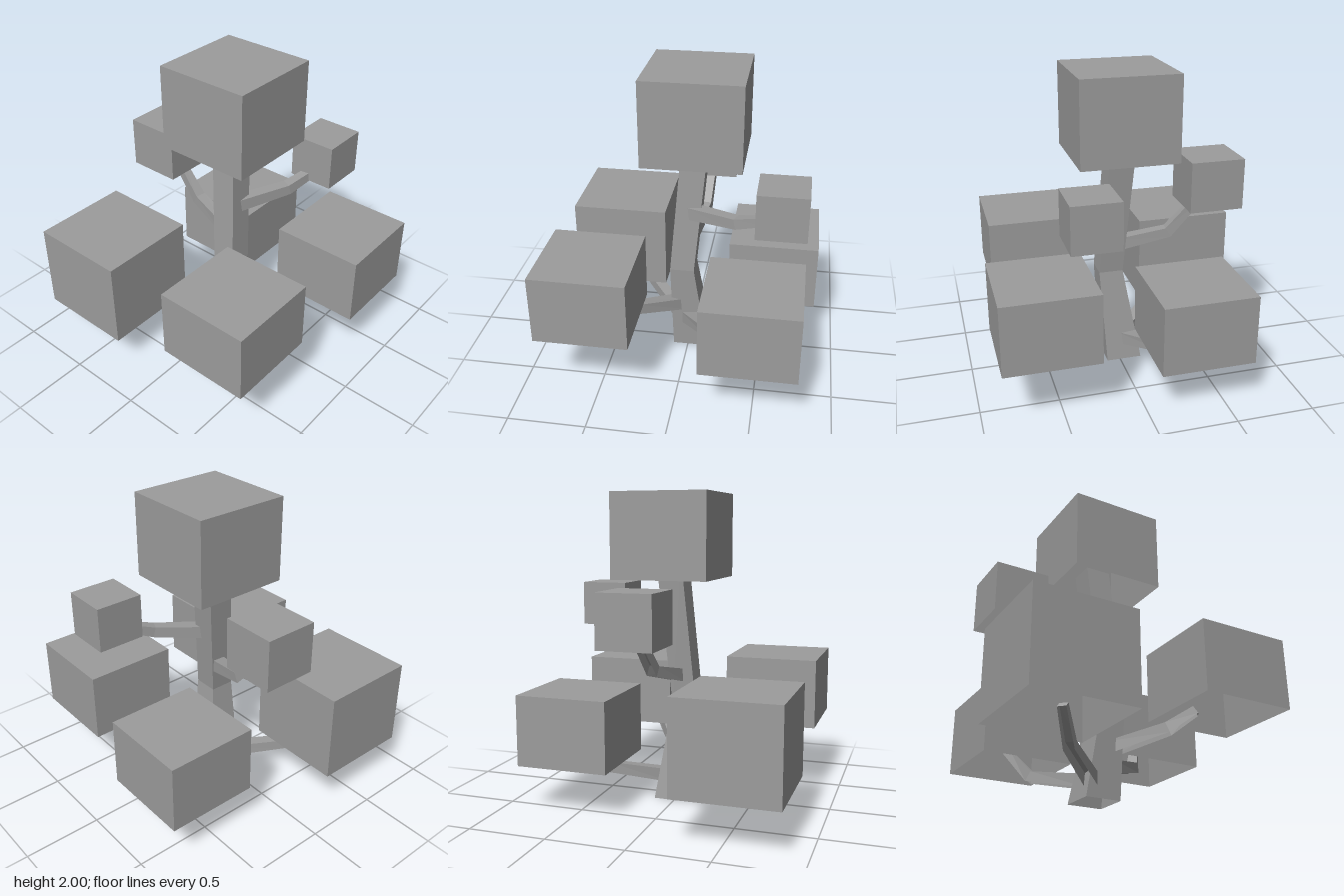
import * as THREE from 'three';

const material = new THREE.MeshStandardMaterial({
  color: 0x9c9c9c, flatShading: true, side: THREE.DoubleSide,
});

// Four-sided skin through square rings, each { c: centre, s: side, u: up, w: width }.
// The start is open, the end is capped; sides lists the sides to build (0 is the underside).
function loftSquares(rings, sides) {
  const signs = [[-1, -1], [1, -1], [1, 1], [-1, 1]];
  const loops = rings.map(({ c, s, u, w }) => signs.map(([a, b]) =>
    c.clone().addScaledVector(s, a * w / 2).addScaledVector(u, b * w / 2)));
  const pos = [];
  const quad = (a, b, c, d) => [a, b, c, a, c, d].forEach((p) => pos.push(p.x, p.y, p.z));
  for (let r = 0; r + 1 < loops.length; r++) {
    for (const i of sides) {
      const j = (i + 1) % 4;
      quad(loops[r][i], loops[r][j], loops[r + 1][j], loops[r + 1][i]);
    }
  }
  quad(...loops[loops.length - 1]);
  const geo = new THREE.BufferGeometry();
  geo.setAttribute('position', new THREE.Float32BufferAttribute(pos, 3));
  geo.computeVertexNormals();
  return geo;
}

// Branch: tapering square channel, open underneath, along a bent path
function branchGeometry(path) {
  const pts = path.map((p) => new THREE.Vector3(...p));
  const dirs = pts.slice(1).map((p, i) => p.clone().sub(pts[i]).normalize());
  const widths = [0.085, 0.07, 0.055];
  return loftSquares(pts.map((c, i) => {
    const t = (dirs[i - 1] || dirs[0]).clone().add(dirs[i] || dirs[dirs.length - 1]).normalize();
    const s = new THREE.Vector3(0, 1, 0).cross(t).normalize();
    return { c, s, u: t.clone().cross(s), w: widths[i] };
  }), [1, 2, 3]);
}

// Foliage: box without its bottom face
function openBox(size) {
  const geo = new THREE.BoxGeometry(size.x, size.y, size.z);
  geo.setIndex([...geo.index.array].filter((_, i) => i < 18 || i >= 24));
  geo.clearGroups();
  return geo;
}

export function createModel() {
  const tree = new THREE.Group();
  tree.name = 'tree';
  const add = (name, geo) => {
    const mesh = new THREE.Mesh(geo, material);
    mesh.name = name;
    tree.add(mesh);
    return mesh;
  };

  // Trunk: leans one way, then back; [x, y, z, width]
  const s = new THREE.Vector3(1, 0, 0), u = new THREE.Vector3(0, 0, -1);
  add('trunk', loftSquares([
    [-0.028, 0, -0.018, 0.235],
    [0.04, 0.63, 0.035, 0.16],
    [-0.029, 1.6, -0.049, 0.169],
  ].map(([x, y, z, w]) => ({ c: new THREE.Vector3(x, y, z), s, u, w })), [0, 1, 2, 3]));

  // Foliage blocks: lowest and highest corner
  const blocks = {
    crownFoliage: [[-0.316, 1.455, -0.362], [0.309, 2, 0.263]],
    frontRightFoliage: [[-0.883, 0.28, 0.21], [-0.235, 0.863, 0.859]],
    frontLeftFoliage: [[0.2, 0.47, 0.26], [0.803, 0.92, 0.859]],
    backLeftFoliage: [[0.28, 0.4, -0.775], [0.88, 0.853, -0.175]],
    backRightFoliage: [[-0.66, 0.3, -0.859], [-0.063, 0.752, -0.263]],
    smallRightFoliage: [[-0.783, 1.08, -0.262], [-0.428, 1.414, 0.088]],
    smallBackFoliage: [[0.16, 1.108, -0.77], [0.462, 1.402, -0.458]],
  };
  for (const [name, corners] of Object.entries(blocks)) {
    const box = new THREE.Box3(...corners.map((p) => new THREE.Vector3(...p)));
    box.getCenter(add(name, openBox(box.getSize(new THREE.Vector3()))).position);
  }

  // Branches: from inside the trunk, over one bend, into a foliage block
  const branches = {
    frontRightBranch: [[-0.075, 0.11, 0.05], [-0.37, 0.21, 0.315], [-0.48, 0.4, 0.43]],
    frontLeftBranch: [[0.04, 0.33, 0.03], [0.3, 0.425, 0.325], [0.44, 0.535, 0.425]],
    backLeftBranch: [[0.05, 0.225, 0.02], [0.375, 0.325, -0.21], [0.455, 0.47, -0.32]],
    backRightBranch: [[-0.03, 0.135, -0.05], [-0.26, 0.23, -0.445], [-0.385, 0.41, -0.55]],
    smallRightBranch: [[0, 0.815, 0], [-0.34, 0.895, -0.07], [-0.57, 1.15, -0.09]],
    smallBackBranch: [[0.05, 1.045, -0.015], [0.22, 1.083, -0.33], [0.295, 1.155, -0.54]],
  };
  for (const [name, path] of Object.entries(branches)) add(name, branchGeometry(path));

  return tree;
}
